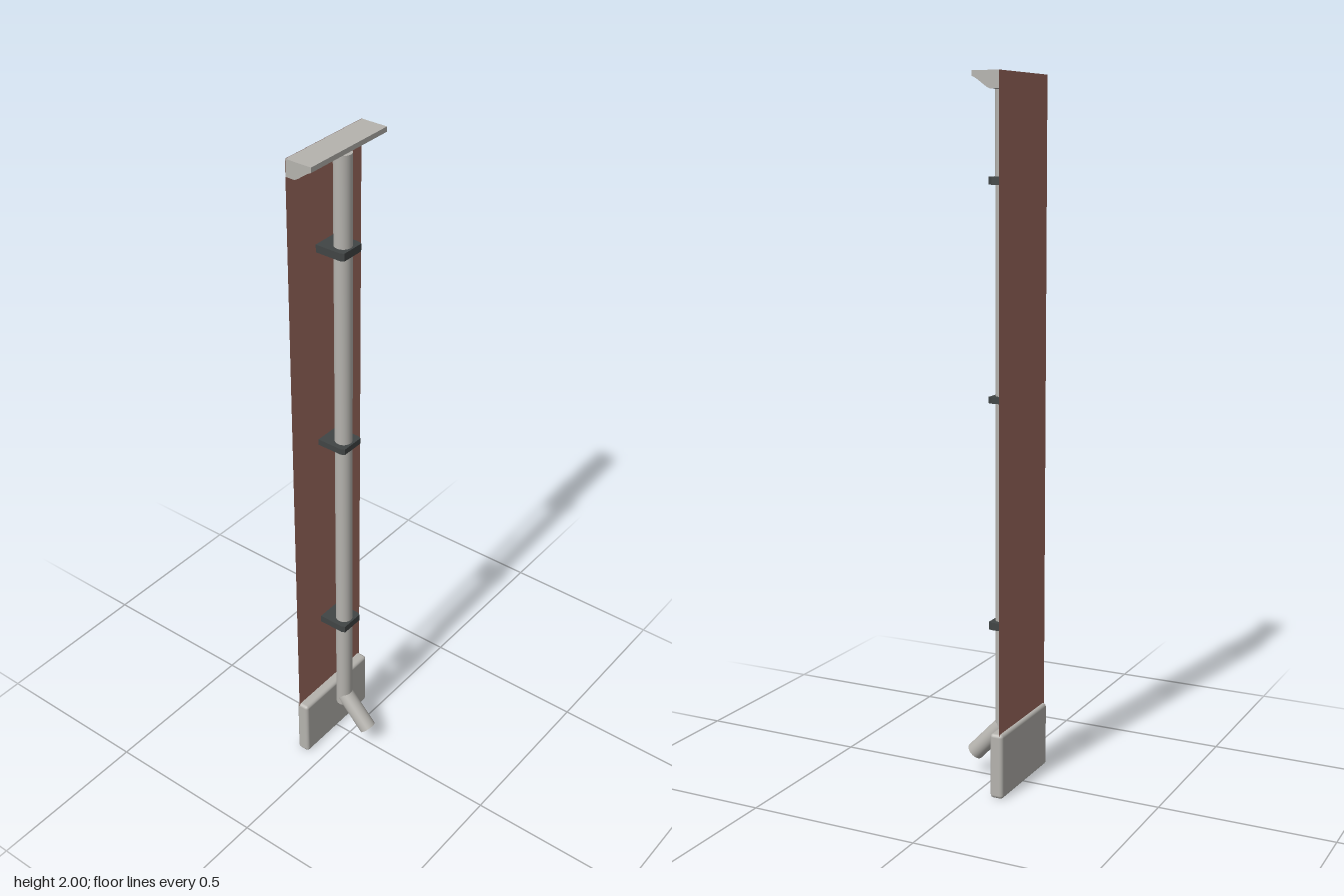
import * as THREE from 'three';
import { toCreasedNormals } from 'three/addons/utils/BufferGeometryUtils.js';
import { RoundedBoxGeometry } from 'three/addons/geometries/RoundedBoxGeometry.js';

const material = (name, color, extra = {}) => {
  const m = new THREE.MeshStandardMaterial({ color, ...extra });
  m.name = name;
  return m;
};

export function createModel() {
  const group = new THREE.Group();
  const grey = material('pale grey', 0xb5b3ae);
  const dark = material('charcoal', 0x414545);
  const clay = material('brick red', 0xa06c60, { side: THREE.DoubleSide });

  const add = (name, geometry, mat, x = 0, y = 0, z = 0) => {
    const mesh = new THREE.Mesh(geometry, mat);
    mesh.name = name;
    mesh.position.set(x, y, z);
    group.add(mesh);
    return mesh;
  };

  // Thin wall strip
  add('wallPanel', new THREE.PlaneGeometry(0.3, 1.84), clay, 0, 1.08, -0.08);

  // Plinth with softened edges
  add('plinth', new RoundedBoxGeometry(0.3, 0.19, 0.04, 2, 0.01), grey, 0, 0.095, -0.07);

  // Eaves gutter: profile in (z, y), swept across the width
  const profile = new THREE.Shape();
  profile.moveTo(-0.079, 2);
  profile.lineTo(-0.079, 1.953);
  profile.lineTo(-0.052, 1.953);
  profile.bezierCurveTo(-0.035, 1.96, -0.02, 1.978, 0, 1.986);
  profile.lineTo(0, 2);
  profile.closePath();
  const gutter = new THREE.ExtrudeGeometry(profile, { depth: 0.3, bevelEnabled: false, curveSegments: 8 });
  gutter.rotateY(-Math.PI / 2);
  add('gutter', toCreasedNormals(gutter, 0.5), grey, 0.15, 0, 0);

  // Downpipe
  add('downpipe', new THREE.CylinderGeometry(0.025, 0.025, 1.85, 24), grey, 0, 1.055, -0.022);

  // Angled outlet spout
  const from = new THREE.Vector3(0, 0.16, -0.02);
  const to = new THREE.Vector3(0, 0.064, 0.071);
  const axis = from.clone().sub(to);
  const spout = add('spout', new THREE.CylinderGeometry(0.026, 0.026, axis.length(), 24), grey);
  spout.position.copy(from).add(to).multiplyScalar(0.5);
  spout.quaternion.setFromUnitVectors(new THREE.Vector3(0, 1, 0), axis.normalize());

  // Pipe clamps: plates with clipped front corners reaching back to the wall
  const outline = new THREE.Shape([
    [-0.04, 0.079], [0.04, 0.079], [0.04, 0.002], [0.035, -0.009], [-0.035, -0.009], [-0.04, 0.002],
  ].map(([x, y]) => new THREE.Vector2(x, y)));
  for (const [y, h] of [[0.465, 0.022], [1.115, 0.018], [1.715, 0.022]]) {
    const clamp = new THREE.ExtrudeGeometry(outline, { depth: h, bevelEnabled: false });
    clamp.rotateX(-Math.PI / 2);
    add('pipeClamp', clamp, dark, 0, y - h / 2, 0);
  }
  return group;
}
